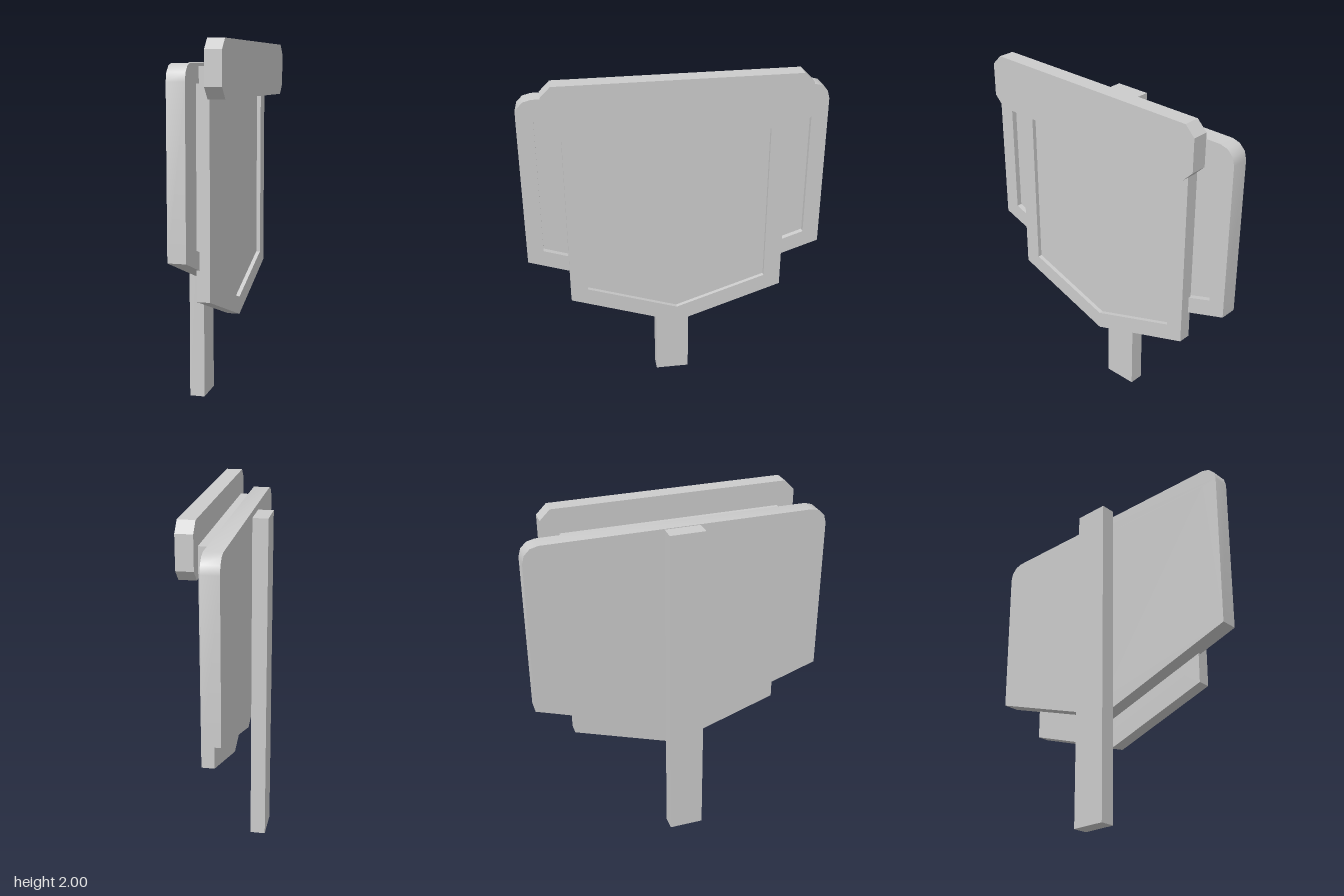
import * as THREE from 'three';
import { toCreasedNormals } from 'three/addons/utils/BufferGeometryUtils.js';

const material = new THREE.MeshStandardMaterial({ color: 0xcccccc });

// Mirror one half of an outline, given as [z, y] from bottom centre to top.
function mirrored(half) {
  const other = half.filter(([z]) => z > 0).reverse().map(([z, y]) => [-z, y]);
  return [...half, ...other].map(([z, y]) => new THREE.Vector2(z, y));
}

// Extrude a z-y outline along x from x0 to x1, with an optional hole.
function slab(name, outline, x0, x1, hole) {
  const shape = new THREE.Shape(outline);
  if (hole) shape.holes.push(new THREE.Path(hole));
  const geo = new THREE.ExtrudeGeometry(shape, { depth: x1 - x0, bevelEnabled: false });
  geo.rotateY(Math.PI / 2).translate(x0, 0, 0);
  const mesh = new THREE.Mesh(toCreasedNormals(geo, 0.6), material);
  mesh.name = name;
  return mesh;
}

// A plate with a raised rim around a recessed panel.
function recessedPlate(name, outer, inner, x0, floor, x1) {
  const group = new THREE.Group();
  group.name = name;
  group.add(slab(name + 'Rim', outer, x0, x1, inner), slab(name + 'Panel', inner, x0, floor));
  return group;
}

export function createModel() {
  const model = new THREE.Group();
  model.name = 'signpost';

  // Post behind the plates
  const post = new THREE.Mesh(new THREE.BoxGeometry(0.085, 1.89, 0.195), material);
  post.name = 'post';
  post.position.set(-0.138, 0.945, 0);
  model.add(post);

  // Wide back plate with rounded top corners and a pointed bottom
  const corner = [];
  for (let i = 0; i <= 3; i++) {
    const a = (i * Math.PI) / 6;
    corner.push([0.738 + 0.087 * Math.cos(a), 1.793 + 0.087 * Math.sin(a)]);
  }
  model.add(recessedPlate('backPlate',
    mirrored([[0, 0.64], [0.825, 0.92], ...corner]),
    mirrored([[0, 0.735], [0.735, 0.985], [0.735, 1.782]]),
    -0.065, 0, 0.03));

  // Narrower front plate
  model.add(recessedPlate('frontPlate',
    mirrored([[0, 0.475], [0.6, 0.68], [0.6, 1.865]]),
    mirrored([[0, 0.575], [0.505, 0.745], [0.505, 1.77]]),
    0.015, 0.062, 0.085));

  // Chamfered header board across the top
  model.add(slab('headerBoard',
    mirrored([[0.635, 1.705], [0.695, 1.765], [0.695, 1.945], [0.64, 2]]),
    0.085, 0.175));

  return model;
}
